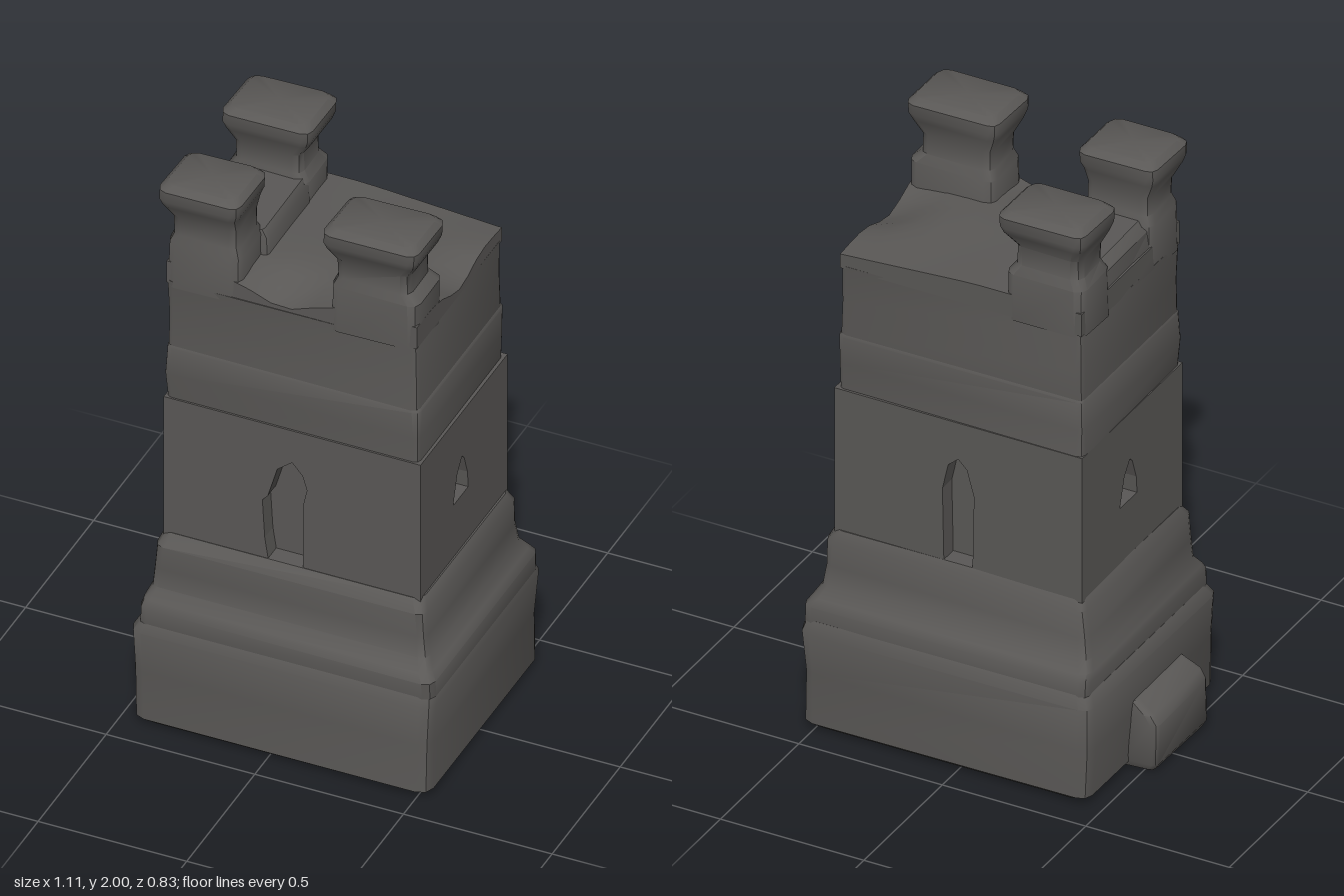
import * as THREE from 'three';
import { toCreasedNormals } from 'three/addons/utils/BufferGeometryUtils.js';

const stone = new THREE.MeshStandardMaterial({ color: 0x5a5856 });
stone.name = 'dark stone';

// Loft of rounded rectangles; each section is [y, x0, x1, z0, z1].
function loft(sections, r = 0.025, wear = 0.004) {
  const pos = [], idx = [], n = 12;
  for (const [y, x0, x1, z0, z1] of sections) {
    const corners = [[x1 - r, z1 - r], [x0 + r, z1 - r], [x0 + r, z0 + r], [x1 - r, z0 + r]];
    corners.forEach(([cx, cz], q) => {
      for (let k = 0; k < 3; k++) {
        const a = (q + k / 2) * Math.PI / 2;
        const w = wear * Math.sin(q * 2.3 + y * 19);
        pos.push(cx + (r + w) * Math.cos(a), y, cz + (r + w) * Math.sin(a));
      }
    });
  }
  const m = sections.length;
  for (let j = 0; j < m - 1; j++) for (let i = 0; i < n; i++) {
    const a = j * n + i, b = j * n + (i + 1) % n;
    idx.push(a, a + n, b, b, a + n, b + n);
  }
  // End caps
  for (const [j, top] of [[0, false], [m - 1, true]]) {
    const [y, x0, x1, z0, z1] = sections[j], c = pos.length / 3;
    pos.push((x0 + x1) / 2, y, (z0 + z1) / 2);
    for (let i = 0; i < n; i++) {
      const a = j * n + i, b = j * n + (i + 1) % n;
      if (top) idx.push(c, b, a); else idx.push(c, a, b);
    }
  }
  const g = new THREE.BufferGeometry();
  g.setAttribute('position', new THREE.Float32BufferAttribute(pos, 3));
  g.setIndex(idx);
  return toCreasedNormals(g, 0.7);
}

// Wall panel from u0 to u1 with an opening cut through it.
function panel(u0, u1, y0, y1, opening, depth) {
  const s = new THREE.Shape([[u0, y0], [u1, y0], [u1, y1], [u0, y1]].map(p => new THREE.Vector2(...p)));
  s.holes.push(new THREE.Path(opening.map(p => new THREE.Vector2(...p))));
  return new THREE.ExtrudeGeometry(s, { depth, bevelEnabled: false });
}

export function createModel() {
  const model = new THREE.Group();
  const add = (name, geo) => {
    const mesh = new THREE.Mesh(geo, stone);
    mesh.name = name;
    model.add(mesh);
    return mesh;
  };

  // Base block and stepped plinth
  add('baseBlock', loft([
    [0, -0.42, 0.51, -0.38, 0.38], [0.025, -0.455, 0.54, -0.41, 0.41],
    [0.2, -0.46, 0.545, -0.41, 0.41], [0.345, -0.465, 0.55, -0.415, 0.41],
    [0.385, -0.445, 0.54, -0.395, 0.39]], 0.04));
  add('plinth', loft([
    [0.37, -0.445, 0.545, -0.395, 0.395], [0.43, -0.445, 0.545, -0.395, 0.4],
    [0.455, -0.44, 0.53, -0.38, 0.385], [0.49, -0.425, 0.512, -0.355, 0.355],
    [0.56, -0.415, 0.505, -0.345, 0.35], [0.645, -0.405, 0.5, -0.34, 0.35],
    [0.685, -0.39, 0.478, -0.32, 0.32]], 0.03));
  add('sideStone', loft([
    [0.005, -0.535, -0.42, -0.13, 0.19], [0.03, -0.55, -0.42, -0.14, 0.195],
    [0.175, -0.55, -0.42, -0.14, 0.195], [0.205, -0.53, -0.42, -0.14, 0.195],
    [0.24, -0.475, -0.42, -0.13, 0.18]], 0.02));

  // Lower shaft: solid core with four walls around it, each with a recess
  const t = 0.06, y0 = 0.67, y1 = 1.19, cx = 0.043, hx = 0.432, hz = 0.32;
  const core = add('shaftCore', new THREE.BoxGeometry(2 * (hx - t), y1 - y0, 2 * (hz - t)));
  core.position.set(cx, (y0 + y1) / 2, 0);
  const niche = [[-0.08, 0.68], [0.037, 0.68], [0.037, 0.92], [0.05, 0.98], [0.035, 1.03],
    [0, 1.07], [-0.05, 1.03], [-0.082, 0.92], [-0.1, 0.9], [-0.092, 0.76]];
  const backNiche = [[-0.05, 0.68], [0.05, 0.68], [0.055, 0.94], [0.03, 1.03], [0, 1.06],
    [-0.035, 1.03], [-0.055, 0.94]];
  const slit = [[-0.08, 0.88], [0.03, 0.88], [0.025, 0.94], [0, 1.01], [-0.015, 1.025], [-0.05, 0.98]];
  const walls = [
    ['frontWall', hx, hz, niche, 0], ['backWall', hx, hz, backNiche, Math.PI],
    ['leftWall', hz - t, hx, slit, Math.PI / 2], ['rightWall', hz - t, hx, slit, -Math.PI / 2]];
  for (const [name, half, dist, hole, turn] of walls) {
    const g = panel(-half, half, y0, y1, hole, t);
    g.translate(0, 0, dist - t).rotateY(turn).translate(cx, 0, 0);
    add(name, g);
  }

  // Upper courses, each set back a little from the one below
  add('middleCourse', loft([
    [1.18, -0.385, 0.467, -0.315, 0.315], [1.28, -0.388, 0.468, -0.314, 0.318],
    [1.378, -0.386, 0.465, -0.314, 0.317], [1.392, -0.378, 0.457, -0.307, 0.309]], 0.02));
  add('upperCourse', loft([
    [1.385, -0.384, 0.46, -0.31, 0.314], [1.5, -0.382, 0.462, -0.312, 0.315],
    [1.63, -0.382, 0.46, -0.31, 0.315]], 0.02));

  // Worn roof, sagging at the open edges
  const roof = new THREE.BoxGeometry(0.842, 0.08, 0.624, 12, 1, 10);
  roof.translate(0.039, 1.66, 0.002);
  const p = roof.attributes.position;
  for (let i = 0; i < p.count; i++) {
    if (p.getY(i) < 1.66) continue;
    const x = p.getX(i), z = p.getZ(i);
    const front = Math.exp(-(((x - 0.01) / 0.12) ** 2) - ((z - 0.31) / 0.1) ** 2);
    const side = Math.exp(-(((x - 0.46) / 0.1) ** 2) - (z / 0.11) ** 2);
    p.setY(i, 1.7 - 0.06 * front - 0.06 * side - 0.03 * Math.max(0, x) * Math.max(0, -z) / 0.14);
  }
  add('roof', toCreasedNormals(roof, 0.7));

  // Low wall on the right side between two merlons
  add('parapet', loft([
    [1.62, -0.382, -0.11, -0.16, 0.16], [1.76, -0.375, -0.115, -0.16, 0.16],
    [1.79, -0.345, -0.13, -0.16, 0.16]], 0.015));

  // Three flared merlons: base, neck and cap extents [x0, x1, z0, z1]
  const merlons = [
    ['backRightMerlon', [-0.385, -0.115, -0.312, -0.12], [-0.365, -0.135, -0.295, -0.13], [-0.395, -0.095, -0.332, -0.105]],
    ['frontRightMerlon', [-0.385, -0.135, 0.12, 0.318], [-0.372, -0.145, 0.135, 0.31], [-0.402, -0.13, 0.115, 0.343]],
    ['frontLeftMerlon', [0.165, 0.46, 0.12, 0.318], [0.178, 0.43, 0.135, 0.308], [0.15, 0.468, 0.115, 0.343]]];
  for (const [name, base, neck, cap] of merlons) {
    const inset = ([a, b, c, d], k) => [a + k, b - k, c + k, d - k];
    add(name, loft([
      [1.61, ...base], [1.775, ...base], [1.805, ...neck], [1.87, ...neck],
      [1.92, ...inset(cap, 0.008)], [1.945, ...cap], [1.98, ...cap], [2, ...inset(cap, 0.02)]], 0.03, 0.003));
  }
  return model;
}
